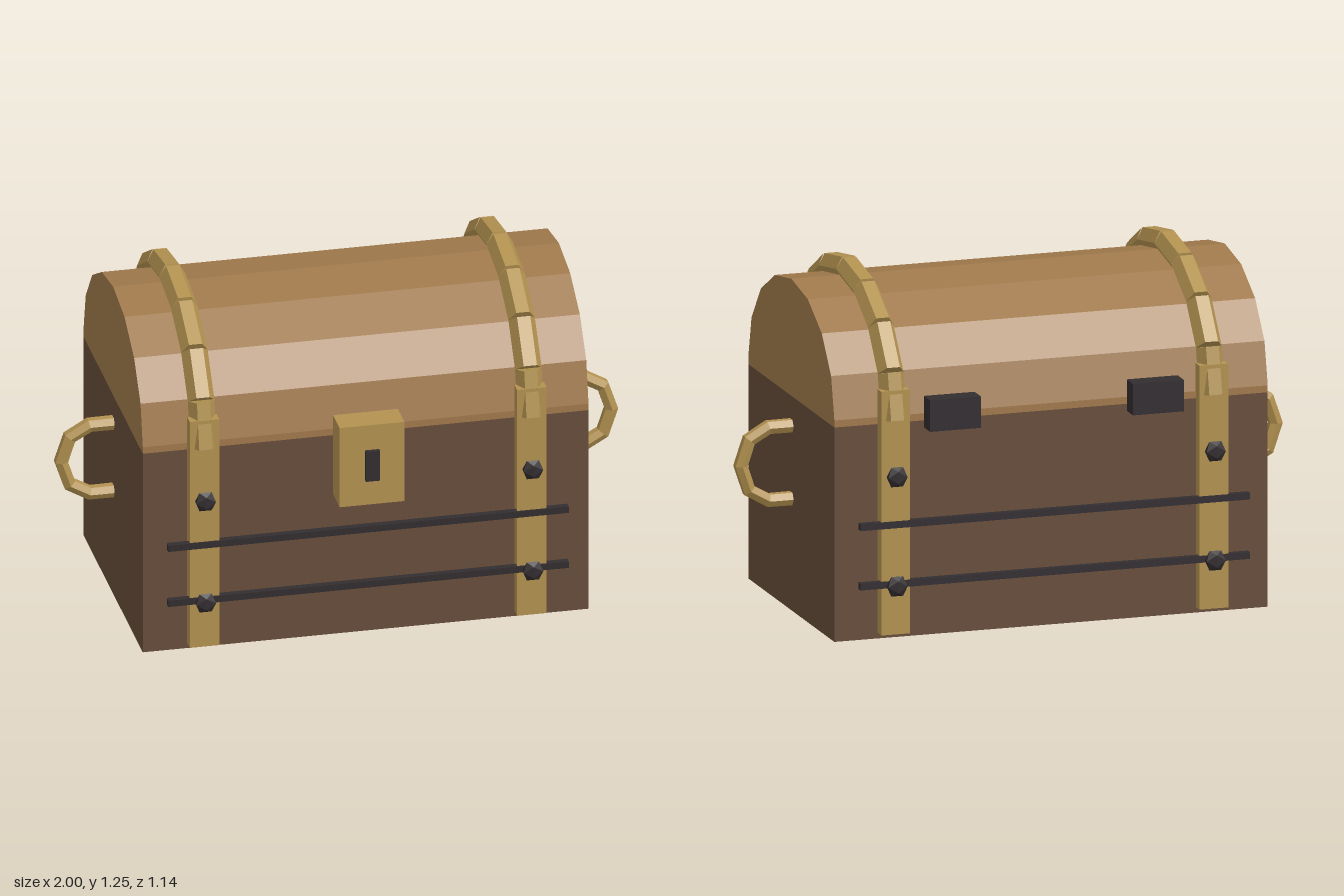
import * as THREE from 'three';

const MID_Z = -0.022; // middle of the chest body, front to back

export function createModel() {
  const chest = new THREE.Group();
  chest.name = 'chest';

  const material = (name, color) => {
    const m = new THREE.MeshStandardMaterial({ color });
    m.name = name;
    return m;
  };
  const darkWood = material('darkWood', 0x664d3b);
  const lightWood = material('lightWood', 0xa0794c);
  const brass = material('brass', 0xb39250);
  const iron = material('iron', 0x332d30);

  const add = (name, geometry, mat, x = 0, y = 0, z = 0) => {
    const mesh = new THREE.Mesh(geometry, mat);
    mesh.name = name;
    mesh.position.set(x, y, z);
    chest.add(mesh);
    return mesh;
  };
  const box = (name, mat, w, h, d, x, y, z) =>
    add(name, new THREE.BoxGeometry(w, h, d), mat, x, y, z);
  // give every face its own normal
  const faceted = (geometry) => {
    const g = geometry.toNonIndexed();
    g.computeVertexNormals();
    return g;
  };
  // points of an eight-sided half ellipse, as (offset from the middle, height)
  const arch = (rz, ry, cy) => Array.from({ length: 9 }, (_, i) => {
    const a = (i * Math.PI) / 8;
    return new THREE.Vector2(rz * Math.cos(a), cy + ry * Math.sin(a));
  });

  // wooden body
  box('body', darkWood, 1.58, 0.765, 0.945, 0, 0.3825, MID_Z);

  // arched lid with a short straight skirt
  const profile = new THREE.Shape([
    new THREE.Vector2(-0.4725, 0.765), new THREE.Vector2(0.4725, 0.765),
    ...arch(0.4725, 0.393, 0.79),
  ]);
  const lid = new THREE.ExtrudeGeometry(profile, { depth: 1.58, bevelEnabled: false });
  lid.translate(0, 0, -0.79).rotateY(Math.PI / 2);
  add('lid', lid, lightWood, 0, 0, MID_Z);

  for (const side of [-1, 1]) {
    const x = side * 0.58;

    // hexagonal bars following the lid
    const path = arch(0.495, 0.427, 0.778);
    for (let i = 0; i < 8; i++) {
      const a = path[i], b = path[i + 1];
      const bar = faceted(new THREE.CylinderGeometry(0.047, 0.047, a.distanceTo(b), 6));
      bar.rotateY(Math.PI / 6).rotateX(Math.atan2(b.x - a.x, b.y - a.y));
      add('lidStrap', bar, brass, x, (a.y + b.y) / 2, MID_Z + (a.x + b.x) / 2);
    }

    // upright straps and rivets, front and back
    for (const face of [-1, 1]) {
      box('uprightStrap', brass, 0.105, 0.87, 0.042, x, 0.455, MID_Z + face * 0.493);
      for (const y of [0.195, 0.585]) {
        const rivet = new THREE.IcosahedronGeometry(0.041, 0).scale(1, 1, 0.5);
        add('rivet', rivet, iron, x, y, MID_Z + face * 0.529);
      }
    }

    // hinge
    box('hinge', iron, 0.185, 0.112, 0.07, side * 0.37, 0.795, -0.525);

    // side handle
    const bend = [[0.78, 0.13], [0.875, 0.13], [0.945, 0.09], [0.975, 0],
      [0.945, -0.09], [0.875, -0.13], [0.78, -0.13]];
    const curve = new THREE.CatmullRomCurve3(
      bend.map(([px, py]) => new THREE.Vector3(side * px, 0.53 + py, MID_Z)));
    curve.getUtoTmapping = (u) => u; // one ring at each bend
    add('handle', faceted(new THREE.TubeGeometry(curve, 6, 0.026, 6)), brass);
  }

  // iron rods across the front and back
  for (const face of [-1, 1]) {
    for (const y of [0.2, 0.412]) {
      box('rod', iron, 1.42, 0.024, 0.024, 0, y, MID_Z + face * 0.507);
    }
  }

  // lock plate and keyhole
  box('lockPlate', brass, 0.23, 0.305, 0.105, 0, 0.688, 0.5);
  box('keyhole', iron, 0.05, 0.115, 0.03, 0, 0.688, 0.552);

  return chest;
}
